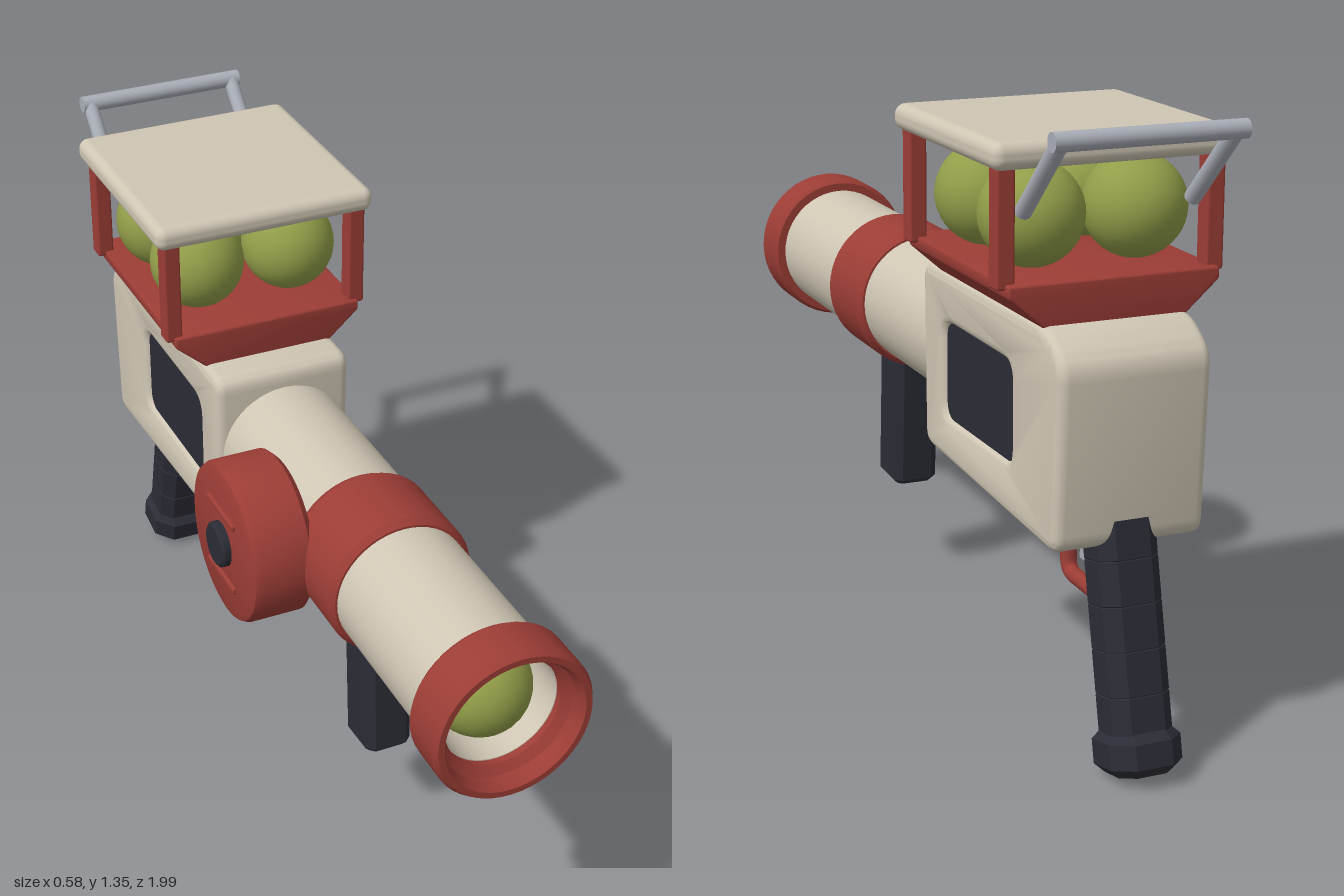
import * as THREE from 'three';
import { toCreasedNormals } from 'three/addons/utils/BufferGeometryUtils.js';
import { RoundedBoxGeometry } from 'three/addons/geometries/RoundedBoxGeometry.js';

const CX = 0.018; // symmetry plane
const AXIS_Y = 0.747; // barrel height

const material = (name, color) => {
  const m = new THREE.MeshStandardMaterial({ color });
  m.name = name;
  return m;
};

// Closed outline with softened corners
function outline(points, r, Type = THREE.Shape) {
  const s = new Type();
  const v = points.map(([x, y]) => new THREE.Vector2(x, y));
  v.forEach((p, i) => {
    const before = v[(i + v.length - 1) % v.length];
    const after = v[(i + 1) % v.length];
    const a = p.clone().add(before.clone().sub(p).setLength(r));
    const b = p.clone().add(after.clone().sub(p).setLength(r));
    if (i === 0) s.moveTo(a.x, a.y);
    else s.lineTo(a.x, a.y);
    s.quadraticCurveTo(p.x, p.y, b.x, b.y);
  });
  s.closePath();
  return s;
}

const rect = (x0, x1, y0, y1) => [[x0, y0], [x1, y0], [x1, y1], [x0, y1]];

// Bevelled extrusion from z = 0 to z = length, keeping the outline's size
function extrude(shape, length, bevel, curveSegments = 6, bevelSegments = 4) {
  const g = new THREE.ExtrudeGeometry(shape, {
    depth: length - 2 * bevel, bevelEnabled: true, bevelSize: bevel, bevelThickness: bevel,
    bevelOffset: -bevel, bevelSegments, curveSegments,
  });
  return g.translate(0, 0, bevel);
}

// Upright block with cut corners
function block(hw, hd, y0, y1, cut, bevel) {
  const g = extrude(outline(rect(-hw, hw, -hd, hd), cut), y1 - y0, bevel, 1, 1);
  return toCreasedNormals(g.rotateX(-Math.PI / 2).translate(0, y0, 0), 0.3);
}

// Turned part along the barrel axis, profile as [radius, z]
function turned(profile) {
  const g = new THREE.LatheGeometry(profile.map(([r, z]) => new THREE.Vector2(r, z)), 48);
  return toCreasedNormals(g.rotateX(Math.PI / 2), 0.5);
}

export function createModel() {
  const cream = material('cream', 0xcfc6b4);
  const red = material('red', 0x9c3d36);
  const dark = material('charcoal', 0x2b2c35);
  const green = material('green', 0x929e49);
  const silver = material('silver', 0xa9adb6);

  const root = new THREE.Group();
  root.name = 'ballLauncher';
  const add = (name, geometry, mat, x = CX, y = 0, z = 0, parent = root) => {
    const m = new THREE.Mesh(geometry, mat);
    m.name = name;
    m.position.set(x, y, z);
    parent.add(m);
    return m;
  };

  // Barrel, muzzle ring and middle band
  add('barrel', turned([[0.155, -0.17], [0.155, 0.93], [0.13, 0.93], [0.13, -0.17]]), cream, CX, AXIS_Y);
  add('muzzleRing', turned([
    [0.154, 0.88], [0.175, 0.88], [0.1825, 0.89], [0.1825, 0.985], [0.174, 1], [0.16, 1],
    [0.152, 0.985], [0.152, 0.96], [0.132, 0.945], [0.132, 0.92],
  ]), red, CX, AXIS_Y);
  add('barrelBand', turned([
    [0.15, 0.265], [0.16, 0.265], [0.172, 0.285], [0.172, 0.47], [0.16, 0.485], [0.15, 0.485],
  ]), red, CX, AXIS_Y);

  // Body with a recessed panel on both sides
  const bodyShape = outline([
    [-0.15, 0.952], [-0.8, 0.952], [-0.883, 0.895], [-0.861, 0.495], [-0.158, 0.53],
  ], 0.04);
  bodyShape.holes.push(outline(rect(-0.637, -0.272, 0.622, 0.838), 0.04, THREE.Path));
  const bodyWidth = 0.336;
  const body = extrude(bodyShape, bodyWidth, 0.022).translate(0, 0, -bodyWidth / 2).rotateY(-Math.PI / 2);
  add('body', toCreasedNormals(body, 0.6), cream);
  add('sidePanels', new THREE.BoxGeometry(bodyWidth - 0.024, 0.22, 0.37), dark, CX, 0.73, -0.4545);

  // Rear grip: stacked segments and a flared end
  const grip = new THREE.Group();
  grip.name = 'rearGrip';
  grip.position.set(CX, 0.03, -0.92);
  grip.rotation.x = 0.225;
  root.add(grip);
  add('gripEnd', block(0.081, 0.081, 0, 0.092, 0.04, 0.02), dark, 0, 0, 0, grip);
  for (let i = 0; i < 5; i++) {
    const y = 0.07 + i * 0.093;
    add('gripSegment', block(0.067, 0.063, y, y + 0.095, 0.029, 0.003), dark, 0, 0, 0, grip);
  }

  // Front grip
  const frontGrip = add('frontGrip', block(0.056, 0.066, 0, 0.37, 0.018, 0.012), dark, CX, 0.257, 0.39);
  frontGrip.rotation.x = -0.065;

  // Trigger and its guard
  const guardPath = new THREE.CurvePath();
  const p = (y, z) => new THREE.Vector3(0, y, z);
  guardPath.add(new THREE.LineCurve3(p(0.54, -0.572), p(0.375, -0.572)));
  guardPath.add(new THREE.QuadraticBezierCurve3(p(0.375, -0.572), p(0.342, -0.572), p(0.342, -0.605)));
  guardPath.add(new THREE.LineCurve3(p(0.342, -0.605), p(0.342, -0.82)));
  add('triggerGuard', new THREE.TubeGeometry(guardPath, 40, 0.018, 10), red);
  const trigger = add('trigger', new RoundedBoxGeometry(0.035, 0.13, 0.025, 2, 0.008), silver, CX, 0.465, -0.676);
  trigger.rotation.x = -0.12;

  // Side drum with knob and ridges
  const drum = new THREE.Group();
  drum.name = 'sideDrum';
  drum.position.set(-0.272, AXIS_Y - 0.003, 0.167);
  root.add(drum);
  const drumProfile = [
    [0, -0.15], [0.172, -0.15], [0.187, -0.135], [0.187, -0.018], [0.181, -0.005], [0.168, 0], [0, 0],
  ];
  add('drumBody', turned(drumProfile).rotateY(-Math.PI / 2), red, 0, 0, 0, drum);
  const knob = [[0.053, -0.01], [0.053, 0.015], [0.046, 0.021], [0, 0.021]];
  add('drumKnob', turned(knob).rotateY(-Math.PI / 2), dark, 0, 0, 0, drum);
  for (const y of [-0.085, 0.085]) {
    add('drumRidge', new RoundedBoxGeometry(0.016, 0.018, 0.15, 2, 0.006), red, 0, y, 0, drum);
  }

  // Hopper: tray, posts, roof
  const tray = outline([
    [-0.157, 0.945], [0.157, 0.945], [0.233, 1.012], [0.233, 1.037], [-0.233, 1.037], [-0.233, 1.012],
  ], 0.006);
  add('hopperTray', toCreasedNormals(extrude(tray, 0.54, 0.006), 0.4), red, CX, 0, -0.78);
  for (const side of [-1, 1]) {
    for (const z of [-0.272, -0.738]) {
      add('hopperPost', new RoundedBoxGeometry(0.04, 0.255, 0.044, 2, 0.006), red, CX + side * 0.231, 1.1525, z);
    }
  }
  add('hopperRoof', new RoundedBoxGeometry(0.538, 0.057, 0.548, 4, 0.024), cream, CX, 1.2935, -0.511);

  // Balls in the hopper and one in the muzzle
  const ball = new THREE.SphereGeometry(0.111, 32, 20);
  for (const side of [-1, 1]) {
    for (const z of [-0.394, -0.622]) add('hopperBall', ball, green, CX + side * 0.116, 1.145, z);
  }
  add('muzzleBall', ball, green, CX, AXIS_Y - 0.002, 0.84);

  // Rear carry handle
  const low = new THREE.Vector3(0, 1.175, -0.74);
  const high = new THREE.Vector3(0, 1.342, -0.912);
  const arm = new THREE.TubeGeometry(new THREE.LineCurve3(low, high), 1, 0.018, 16);
  for (const side of [-1, 1]) add('handleArm', arm, silver, CX + side * 0.187);
  const bar = new THREE.CylinderGeometry(0.02, 0.02, 0.414, 20).rotateZ(Math.PI / 2);
  add('handleBar', bar, silver, CX, 1.342, -0.914);

  return root;
}
